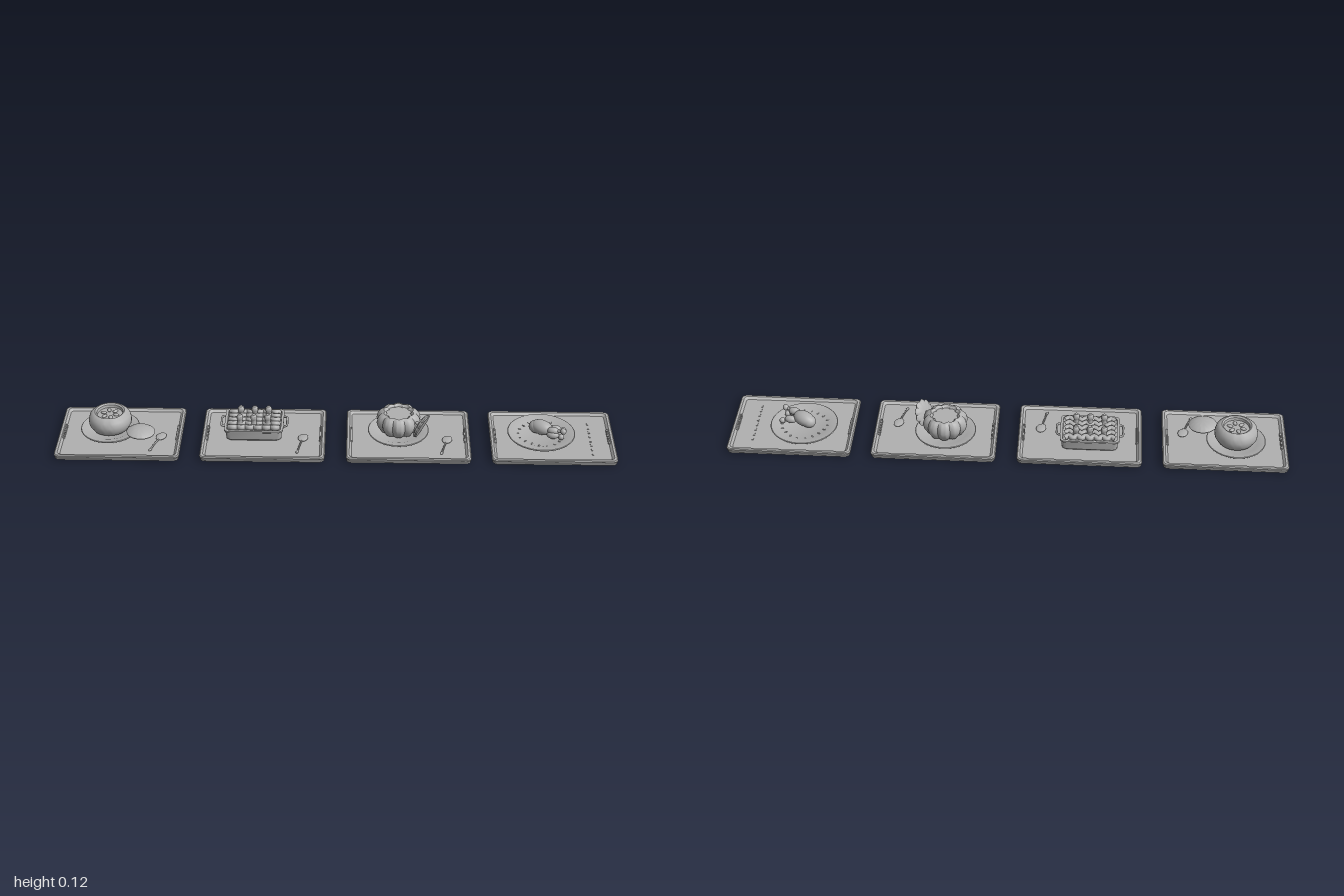
import * as THREE from 'three';
import { toCreasedNormals } from 'three/addons/utils/BufferGeometryUtils.js';

const clay = new THREE.MeshStandardMaterial({ color: 0xb0b0b0 });
clay.name = 'grey clay';

function add(parent, name, geometry, x = 0, y = 0, z = 0) {
  const m = new THREE.Mesh(geometry, clay);
  m.name = name;
  m.position.set(x, y, z);
  parent.add(m);
  return m;
}

// Rounded-rectangle rings [halfWidth, halfDepth, cornerRadius, y], joined in order
function loft(rings) {
  const pos = [], index = [], seg = 5, n = 4 * (seg + 1);
  for (const [w, d, r, y] of rings) {
    for (let c = 0; c < 4; c++) {
      const sx = c === 0 || c === 3 ? 1 : -1, sz = c < 2 ? 1 : -1;
      for (let k = 0; k <= seg; k++) {
        const a = (c + k / seg) * Math.PI / 2;
        pos.push(sx * (w - r) + r * Math.cos(a), y, sz * (d - r) + r * Math.sin(a));
      }
    }
  }
  for (let i = 0; i < rings.length - 1; i++) {
    for (let j = 0; j < n; j++) {
      const a = i * n + j, b = i * n + (j + 1) % n;
      index.push(a, a + n, b, a + n, b + n, b);
    }
  }
  const g = new THREE.BufferGeometry();
  g.setAttribute('position', new THREE.Float32BufferAttribute(pos, 3));
  g.setIndex(index);
  return toCreasedNormals(g, 0.5);
}

// Turned shape; lobes > 0 pushes its wall into ribs
function turned(profile, lobes = 0, depth = 0) {
  const g = new THREE.LatheGeometry(profile.map(p => new THREE.Vector2(...p)), lobes ? lobes * 8 : 48);
  if (lobes) {
    const p = g.attributes.position;
    for (let i = 0; i < p.count; i++) {
      const a = Math.atan2(p.getZ(i), p.getX(i));
      const s = 1 - depth * (1 - Math.abs(Math.sin(a * lobes / 2)));
      p.setX(i, p.getX(i) * s);
      p.setZ(i, p.getZ(i) * s);
    }
  }
  return toCreasedNormals(g, 0.7);
}

function ball(parent, name, x, y, z, rx, ry, rz, turn = 0) {
  const m = add(parent, name, new THREE.SphereGeometry(1, 24, 16), x, y, z);
  m.scale.set(rx, ry, rz);
  m.rotation.y = turn;
  return m;
}

function rod(parent, name, points, radius) {
  const curve = new THREE.CatmullRomCurve3(points.map(p => new THREE.Vector3(...p)));
  return add(parent, name, new THREE.TubeGeometry(curve, 16, radius, 8));
}

function makeTray(x, name) {
  const g = new THREE.Group();
  g.name = name;
  g.position.x = x;
  add(g, 'tray', loft([
    [0.001, 0.001, 0.0005, 0], [0.214, 0.154, 0.014, 0], [0.220, 0.161, 0.018, 0.003],
    [0.220, 0.161, 0.018, 0.009], [0.217, 0.158, 0.018, 0.0115], [0.2225, 0.163, 0.018, 0.014],
    [0.2225, 0.163, 0.018, 0.019], [0.219, 0.160, 0.016, 0.022], [0.211, 0.152, 0.014, 0.022],
    [0.203, 0.144, 0.011, 0.014], [0.001, 0.001, 0.0005, 0.014],
  ]));
  for (const s of [-1, 1]) add(g, 'trayGrip', loft([
    [0.004, 0.045, 0.003, 0.013], [0.004, 0.045, 0.003, 0.021], [0.0005, 0.0405, 0.0004, 0.0215],
  ]), s * 0.204, 0, 0);
  return g;
}

function plate(parent, x, z, r) {
  add(parent, 'plate', turned([
    [0, 0.014], [r * 0.66, 0.014], [r * 0.72, 0.02], [r * 0.98, 0.027], [r, 0.030], [r * 0.98, 0.032],
    [r * 0.72, 0.0265], [r * 0.66, 0.023], [0, 0.023],
  ]), x, 0, z);
}

function spoon(parent, x, z, dx, dz) {
  const g = new THREE.Group();
  g.name = 'spoon';
  parent.add(g);
  ball(g, 'spoonBowl', x, 0.019, z, 0.018, 0.005, 0.025, Math.atan2(dx, dz));
  rod(g, 'spoonHandle', [[x + dx * 0.2, 0.019, z + dz * 0.2], [x + dx * 0.6, 0.021, z + dz * 0.6],
    [x + dx, 0.018, z + dz]], 0.003);
  ball(g, 'spoonEnd', x + dx, 0.018, z + dz, 0.005, 0.003, 0.010, Math.atan2(dx, dz));
}

function soupTray() {
  const t = makeTray(-0.777, 'soupTray');
  plate(t, -0.041, -0.016, 0.106);
  add(t, 'roundBowl', turned([
    [0, 0.023], [0.045, 0.024], [0.065, 0.033], [0.076, 0.052], [0.077, 0.068], [0.072, 0.085],
    [0.060, 0.096], [0.053, 0.098], [0.047, 0.094], [0.045, 0.084], [0, 0.084],
  ]), -0.039, 0, -0.016);
  // Garnish floating in the bowl
  for (let i = 0; i < 6; i++) {
    const a = i * Math.PI / 3 + 0.3;
    ball(t, 'garnish', -0.039 + 0.024 * Math.cos(a), 0.086, -0.016 + 0.024 * Math.sin(a), 0.011, 0.005, 0.007, -a);
  }
  // Cut lid resting on the rim of the plate
  add(t, 'bowlLid', turned([
    [0, 0], [0.050, 0], [0.051, 0.003], [0.040, 0.011], [0.022, 0.016], [0, 0.018],
  ]), 0.077, 0.047, 0.043).rotation.z = -0.06;
  spoon(t, 0.147, 0.028, -0.03, 0.085);
  return t;
}

function casseroleTray() {
  const t = makeTray(-0.26, 'casseroleTray');
  const dish = new THREE.Group();
  dish.name = 'casserole';
  dish.position.set(-0.035, 0, -0.022);
  t.add(dish);
  add(dish, 'dish', loft([
    [0.001, 0.001, 0.0005, 0.014], [0.092, 0.062, 0.016, 0.014], [0.099, 0.070, 0.018, 0.022],
    [0.102, 0.073, 0.018, 0.052], [0.106, 0.077, 0.018, 0.055], [0.106, 0.077, 0.018, 0.061],
    [0.097, 0.068, 0.012, 0.061], [0.096, 0.067, 0.012, 0.056], [0.001, 0.001, 0.0005, 0.056],
  ]));
  for (const s of [-1, 1]) rod(dish, 'dishHandle', [[s * 0.100, 0.056, -0.032], [s * 0.116, 0.056, -0.03],
    [s * 0.118, 0.056, 0], [s * 0.116, 0.056, 0.03], [s * 0.100, 0.056, 0.032]], 0.004);
  // Wavy layered topping
  for (let r = 0; r < 5; r++) {
    const z = -0.052 + r * 0.026, pts = [];
    for (let i = 0; i <= 12; i++) pts.push([-0.09 + i * 0.015, 0.061 + (i % 2 ? 0.004 : 0), z + (i % 2 ? 0.004 : -0.004)]);
    const curve = new THREE.CatmullRomCurve3(pts.map(p => new THREE.Vector3(...p)));
    add(dish, 'topping', new THREE.TubeGeometry(curve, 72, 0.010, 8));
  }
  // Upright dollops
  for (const x of [-0.05, 0, 0.05]) for (const z of [-0.035, 0.03]) {
    add(dish, 'dollop', turned([
      [0.014, 0.060], [0.010, 0.072], [0.009, 0.082], [0.012, 0.088], [0.011, 0.098], [0.006, 0.104], [0, 0.105],
    ]), x, z > 0 ? 0 : -0.006, z);
  }
  spoon(t, 0.142, 0.027, -0.018, 0.09);
  return t;
}

function pumpkinTray() {
  const t = makeTray(0.26, 'pumpkinTray');
  plate(t, -0.035, -0.016, 0.110);
  add(t, 'pumpkin', turned([
    [0, 0.024], [0.045, 0.025], [0.066, 0.034], [0.078, 0.055], [0.082, 0.070], [0.078, 0.088],
    [0.068, 0.100], [0.055, 0.105], [0.050, 0.101], [0.047, 0.096], [0, 0.096],
  ], 10, 0.12), -0.035, 0, -0.020);
  // Scalloped lid leaning on the side
  const lean = new THREE.Group();
  lean.name = 'pumpkinLid';
  lean.position.set(0.050, 0.071, 0.026);
  lean.rotation.set(0, -0.45, 1.17);
  t.add(lean);
  add(lean, 'lid', turned([
    [0, 0], [0.047, 0], [0.050, 0.004], [0.044, 0.011], [0.024, 0.016], [0, 0.017],
  ], 10, 0.12));
  add(lean, 'lidStem', new THREE.CylinderGeometry(0.005, 0.008, 0.016, 10), 0, 0.021, 0);
  spoon(t, 0.140, 0.030, -0.022, 0.085);
  return t;
}

function roastTray() {
  const t = makeTray(0.777, 'roastTray');
  plate(t, -0.037, -0.008, 0.122);
  // Roast bird with legs
  ball(t, 'roastBody', -0.037, 0.052, -0.008, 0.044, 0.026, 0.029, -0.6);
  ball(t, 'roastBreast', -0.055, 0.048, -0.018, 0.028, 0.023, 0.025, -0.6);
  const legs = [[0.012, 0.046, -0.008, 0.042, 0.040, -0.008], [0.002, 0.058, 0.025, 0.036, 0.064, 0.038],
    [0.000, 0.045, 0.032, 0.030, 0.039, 0.035]];
  for (const [x, y, z, kx, ky, kz] of legs) {
    ball(t, 'drumstick', x, y, z, 0.022, 0.014, 0.014, -0.2);
    rod(t, 'legBone', [[x, y, z], [(x + kx) / 2, (y + ky) / 2, (z + kz) / 2], [kx, ky, kz]], 0.006);
    ball(t, 'legEnd', kx, ky, kz, 0.011, 0.011, 0.011);
  }
  // Crumbs around the well of the plate
  for (let i = 0; i < 18; i++) {
    const a = i * 0.349, r = 0.082 + 0.005 * Math.sin(i * 5);
    ball(t, 'crumb', -0.037 + r * Math.cos(a), 0.0255, -0.008 + r * Math.sin(a), 0.006, 0.002, 0.003, -a);
  }
  // Cutlery lying almost flush with the tray
  for (let i = 0; i < 8; i++) {
    add(t, 'cutlery', new THREE.BoxGeometry(0.006, 0.004, 0.016), 0.138, 0.0145, -0.09 + i * 0.028);
  }
  return t;
}

export function createModel() {
  const model = new THREE.Group();
  model.name = 'mealTrays';
  model.add(soupTray(), casseroleTray(), pumpkinTray(), roastTray());
  return model;
}
